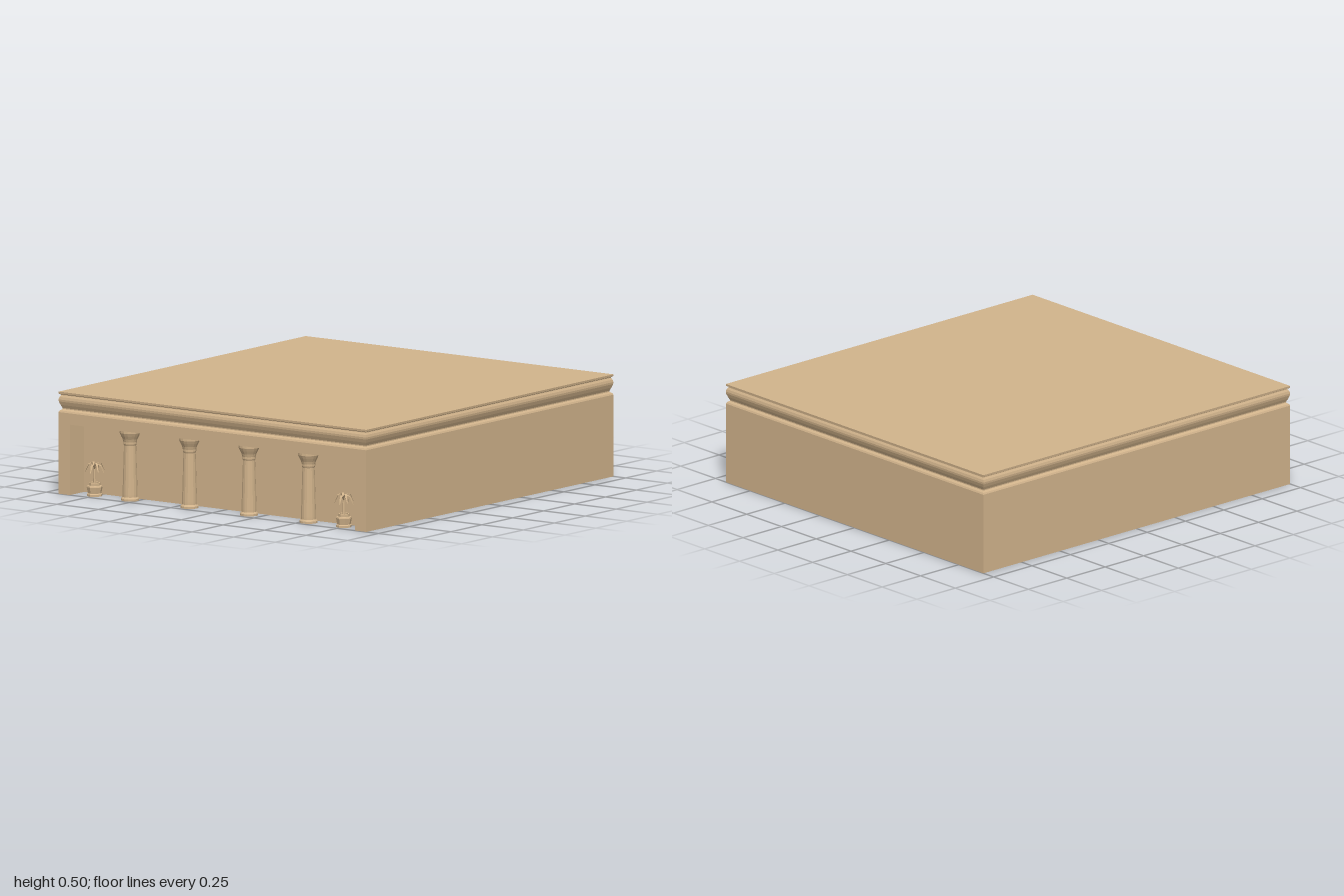
import * as THREE from 'three';

const W = 0.926, D = 1, WALL = 0.4;              // half width, half depth, plain wall height
const OPEN = 0.858, LINTEL = 0.345, RECESS = 0.115; // porch opening
const PORCH_Z = D - 0.056;

export function createModel() {
  const model = new THREE.Group();
  const stone = new THREE.MeshStandardMaterial({ color: 0xd2b48c, flatShading: true, side: THREE.DoubleSide });
  stone.name = 'sandstone';

  const add = (name, geometry, x = 0, y = 0, z = 0, parent = model) => {
    const mesh = new THREE.Mesh(geometry, stone);
    mesh.name = name;
    mesh.position.set(x, y, z);
    parent.add(mesh);
    return mesh;
  };
  const panel = (name, w, h, x, y, z, rx = 0, ry = 0) =>
    add(name, new THREE.PlaneGeometry(w, h), x, y, z).rotation.set(rx, ry, 0);
  const lathe = (points, sides) =>
    new THREE.LatheGeometry(points.map(([r, y]) => new THREE.Vector2(r, y)), sides);

  // Plain outer walls, open underneath
  panel('backWall', 2 * W, WALL, 0, WALL / 2, -D, 0, Math.PI);
  panel('leftWall', 2 * D, WALL, W, WALL / 2, 0, 0, Math.PI / 2);
  panel('rightWall', 2 * D, WALL, -W, WALL / 2, 0, 0, -Math.PI / 2);

  // Front wall, notched for the porch
  const front = new THREE.Shape([
    [-W, 0], [-OPEN, 0], [-OPEN, LINTEL], [OPEN, LINTEL], [OPEN, 0], [W, 0], [W, WALL], [-W, WALL],
  ].map(([x, y]) => new THREE.Vector2(x, y)));
  add('frontWall', new THREE.ShapeGeometry(front), 0, 0, D);

  // Porch recess
  panel('porchBackWall', 2 * OPEN, LINTEL, 0, LINTEL / 2, D - RECESS);
  panel('porchCeiling', 2 * OPEN, RECESS, 0, LINTEL, D - RECESS / 2, Math.PI / 2);
  for (const s of [-1, 1])
    panel('porchJamb', RECESS, LINTEL, s * OPEN, LINTEL / 2, D - RECESS / 2, 0, -s * Math.PI / 2);

  // Moulded cornice: [inset, height] profile carried round the rectangle
  const profile = [
    [0, WALL], [0.004, 0.408], [0.014, 0.415], [0.014, 0.42], [0.007, 0.435], [0.001, 0.452],
    [0, 0.462], [0.003, 0.474], [0.009, 0.483], [0.009, 0.486], [0.001, 0.49], [0, 0.5],
  ];
  const corners = [[1, 1], [1, -1], [-1, -1], [-1, 1]];
  const positions = [], index = [];
  profile.forEach(([inset, y], i) => corners.forEach(([sx, sz], j) => {
    positions.push(sx * (W - inset), y, sz * (D - inset));
    if (i === profile.length - 1) return;
    const a = i * 4 + j, b = i * 4 + (j + 1) % 4;
    index.push(a, b, b + 4, a, b + 4, a + 4);
  }));
  const cornice = new THREE.BufferGeometry();
  cornice.setAttribute('position', new THREE.Float32BufferAttribute(positions, 3));
  cornice.setIndex(index);
  const corniceFlat = cornice.toNonIndexed();
  corniceFlat.computeVertexNormals();
  add('cornice', corniceFlat);
  panel('roof', 2 * W, 2 * D, 0, 0.5, 0, -Math.PI / 2);

  // Four columns with flared capitals
  const column = lathe([
    [0, 0], [0.044, 0], [0.044, 0.01], [0.037, 0.018], [0.037, 0.03], [0.035, 0.1], [0.032, 0.2],
    [0.03, 0.27], [0.033, 0.278], [0.033, 0.288], [0.037, 0.302], [0.045, 0.318], [0.051, 0.332],
    [0.051, LINTEL], [0, LINTEL],
  ], 16);
  for (const x of [-0.537, -0.179, 0.179, 0.537]) add('column', column, x, 0, PORCH_Z);

  // Potted palms at either end of the porch
  const pot = lathe([
    [0, 0], [0.038, 0], [0.038, 0.01], [0.033, 0.014], [0.039, 0.044], [0.037, 0.05],
    [0.028, 0.052], [0.028, 0.065], [0.022, 0.065], [0.022, 0.058], [0, 0.058],
  ], 8);
  const trunk = new THREE.CylinderGeometry(0.005, 0.008, 0.075, 6);

  // Arching frond: a strip whose width tapers to the tip
  const arch = [[0, 0, 0.003], [0.018, 0.026, 0.006], [0.033, 0.02, 0.006], [0.05, -0.016, 0.001]];
  const frond = new THREE.PlaneGeometry(1, 1, 1, arch.length - 1);
  const fp = frond.attributes.position;
  for (let i = 0; i < fp.count; i++) {
    const [r, y, half] = arch[Math.floor(i / 2)];
    fp.setXYZ(i, r, y, i % 2 ? -half : half);
  }
  frond.computeVertexNormals();

  for (const s of [-1, 1]) {
    const palm = new THREE.Group();
    palm.name = 'pottedPalm';
    palm.position.set(s * 0.75, 0, PORCH_Z);
    add('pot', pot, 0, 0, 0, palm);
    add('trunk', trunk, 0, 0.095, 0, palm);
    for (let i = 0; i < 8; i++) {
      const leaf = add('frond', frond, 0, 0.13 + (i % 2) * 0.008, 0, palm);
      leaf.rotation.y = (i / 8) * Math.PI * 2 + 0.2;
    }
    model.add(palm);
  }
  return model;
}
